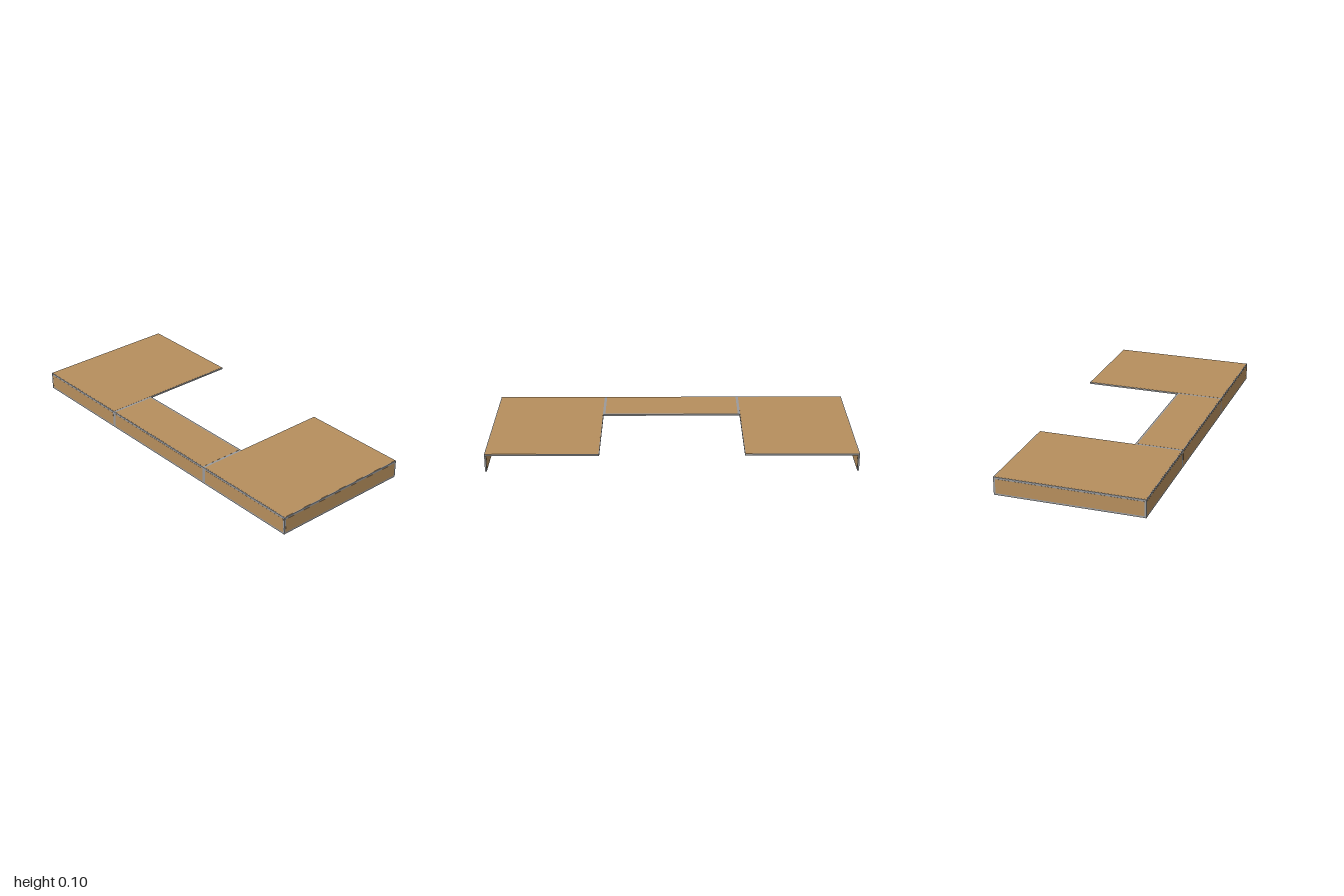
import * as THREE from 'three';

const wood = new THREE.MeshStandardMaterial({ color: 0xb78f5d });
wood.name = 'wood';
const trim = new THREE.MeshStandardMaterial({ color: 0x999a9c });
trim.name = 'grey trim';

const T = 0.01; // board thickness
const FACE = 0.0006; // thickness of the wood facing

// Box given by its minimum and maximum corners
function box(name, min, max, material) {
  const size = max.map((v, i) => v - min[i]);
  const mesh = new THREE.Mesh(new THREE.BoxGeometry(...size), material);
  mesh.position.set(...max.map((v, i) => (v + min[i]) / 2));
  mesh.name = name;
  return mesh;
}

// Grey edged board with wood facings on both broad sides.
// axis is the thin direction; inset gives the [low, high] visible edge per axis.
function board(name, min, max, axis, inset) {
  const group = new THREE.Group();
  group.name = name;
  const coreMin = [...min], coreMax = [...max];
  coreMin[axis] += FACE;
  coreMax[axis] -= FACE;
  group.add(box('edging', coreMin, coreMax, trim));
  const lo = min.map((v, i) => v + inset[i][0]);
  const hi = max.map((v, i) => v - inset[i][1]);
  const lowMax = [...hi], highMin = [...lo];
  lo[axis] = min[axis];
  hi[axis] = max[axis];
  lowMax[axis] = coreMin[axis];
  highMin[axis] = coreMax[axis];
  group.add(box('innerFacing', lo, lowMax, wood), box('outerFacing', highMin, hi, wood));
  return group;
}

export function createModel() {
  const model = new THREE.Group();
  model.name = 'platform';
  const W = 1, D = 0.405, H = 0.1, J = 0.388, B = 0.14; // half width, half depth, height, joint, bridge back
  const under = H - T;
  const edge = [0.01, 0.01], thin = [0.004, 0.004], skirt = [0.01, 0.002];

  // Bridge deck and its front skirt
  model.add(board('bridgeDeck', [-J, under, B], [J, H, D], 1, [edge, edge, [0.01, 0.004]]));
  model.add(board('bridgeSkirt', [-J, 0, D - T], [J, under, D], 2, [edge, skirt, edge]));

  // Wing decks with front and outer skirts
  for (const [side, s] of [['left', 1], ['right', -1]]) {
    const x0 = s > 0 ? J : -W, x1 = s > 0 ? W : -J;
    const outer = s > 0 ? W - T : -W;
    model.add(board(side + 'WingDeck', [x0, under, -D], [x1, H, D], 1, [thin, edge, thin]));
    model.add(board(side + 'FrontSkirt', [x0, 0, D - T], [x1, under, D], 2, [edge, skirt, edge]));
    model.add(board(side + 'SideSkirt', [outer, 0, -D], [outer + T, under, D], 0, [edge, skirt, edge]));
  }
  return model;
}
